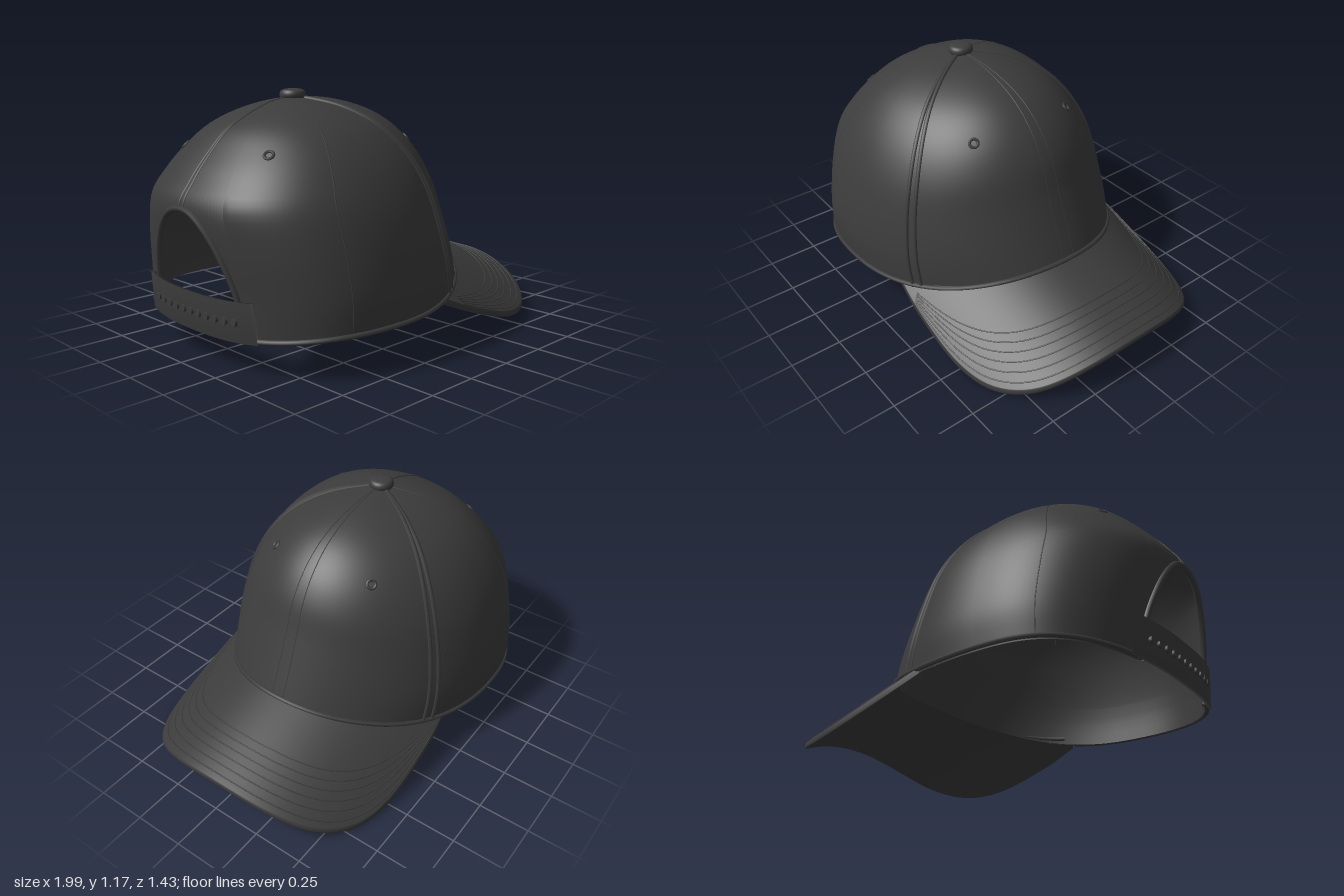
import * as THREE from 'three';
import { mergeVertices } from 'three/addons/utils/BufferGeometryUtils.js';

const CX = -0.34; // vertical axis of the crown
const ARCH_W = 0.357, ARCH_T = 0.6; // rear opening: half angle and top
const curve2 = (pts) => new THREE.SplineCurve(pts.map(([x, y]) => new THREE.Vector2(x, y)));

// Crown profiles (distance from axis, height) from button to rim
const front = curve2([[0, 1.13], [0.24, 1.11], [0.44, 1.05], [0.58, 0.95], [0.675, 0.82], [0.74, 0.65], [0.8, 0.5], [0.865, 0.345]]);
const side = curve2([[0, 1.13], [0.2, 1.09], [0.35, 1.025], [0.46, 0.94], [0.555, 0.82], [0.63, 0.67], [0.68, 0.5], [0.708, 0.33], [0.705, 0.18]]);
const back = curve2([[0, 1.13], [0.16, 1.1], [0.36, 1.01], [0.49, 0.89], [0.58, 0.78], [0.635, 0.68], [0.622, 0.5], [0.59, 0.3], [0.572, 0.13]]);

// Point on the crown: angle a from the front, t from top (0) to rim (1), k scales outward
function crownPoint(a, t, k = 1) {
  const c = Math.cos(a), s = Math.sin(a);
  const e = c > 0 ? 1 : 2 / (2 + 0.6 * t);
  const end = (c > 0 ? front : back).getPointAt(t), sd = side.getPointAt(t);
  const w = Math.pow(c * c, 1.3);
  return new THREE.Vector3(
    CX + Math.sign(c) * Math.pow(Math.abs(c), e) * end.x * k,
    sd.y + (end.y - sd.y) * w - (1 - k) * 0.6 * (1 - t),
    Math.sign(s) * Math.pow(Math.abs(s), e) * sd.x * k);
}

// Smooth surface from a rule f(u, v)
function surface(f, nu, nv) {
  const pos = [], idx = [];
  for (let i = 0; i <= nu; i++) {
    for (let j = 0; j <= nv; j++) {
      pos.push(...f(i / nu, j / nv).toArray());
      if (i < nu && j < nv) {
        const p = i * (nv + 1) + j, q = p + nv + 1;
        idx.push(p, q, p + 1, q, q + 1, p + 1);
      }
    }
  }
  const g = new THREE.BufferGeometry();
  g.setAttribute('position', new THREE.Float32BufferAttribute(pos, 3));
  g.setIndex(idx);
  const m = mergeVertices(g, 1e-5);
  m.computeVertexNormals();
  return m;
}

// Tube following a rule f(u)
function cord(f, radius, n = 50) {
  const pts = Array.from({ length: n + 1 }, (_, i) => f(i / n));
  return new THREE.TubeGeometry(new THREE.CatmullRomCurve3(pts), n * 2, radius, 6);
}

// Brim outline seen from above, and its arched height
const half = [[0.01, 0.64], [0.2, 0.657], [0.5, 0.653], [0.72, 0.595], [0.88, 0.465], [0.97, 0.26]];
const outline = curve2([...half.map(([x, z]) => [x, -z]), [0.998, 0], ...half.slice().reverse()]);
const BRIM_A = 1.14;
function brimPoint(u, v, drop = 0) {
  const inner = crownPoint((u * 2 - 1) * BRIM_A, 1, 0.975);
  const o = outline.getPointAt(u);
  const x = inner.x + (o.x - inner.x) * v, z = inner.z + (o.y - inner.z) * v;
  return new THREE.Vector3(x, 0.35 - 0.32 * (x - 0.53) - 0.74 * z * z - drop, z);
}

export function createModel() {
  const cap = new THREE.Group();
  cap.name = 'cap';
  const cloth = new THREE.MeshStandardMaterial({ color: 0x3c3c3c, side: THREE.DoubleSide });
  cloth.name = 'charcoal cloth';
  const add = (name, geometry) => {
    const m = new THREE.Mesh(geometry, cloth);
    m.name = name;
    cap.add(m);
    return m;
  };

  // Crown with the arched opening at the back
  const archEdge = (phi, sgn) => [sgn * (Math.PI - ARCH_W * Math.cos(phi)), 1 - (1 - ARCH_T) * Math.sin(phi)];
  add('crown', surface((u, v) => {
    const s = u * 2 - 1, m = Math.abs(s), sgn = Math.sign(s) || 1;
    if (m <= 0.8) return crownPoint(s / 0.8 * (Math.PI - ARCH_W), v);
    const [a, t] = archEdge((m - 0.8) / 0.2 * Math.PI / 2, sgn);
    return crownPoint(a, t * v);
  }, 140, 40));

  // Hems round the rim and the rear arch
  const rimA = Math.PI - ARCH_W;
  add('rimHem', cord((u) => crownPoint((u * 2 - 1) * rimA, 0.993), 0.012, 80));
  add('archHem', cord((u) => {
    const phi = u * Math.PI;
    const [a, t] = archEdge(phi < Math.PI / 2 ? phi : Math.PI - phi, phi < Math.PI / 2 ? 1 : -1);
    return crownPoint(a, t);
  }, 0.015));

  // Sweatband inside the rim
  add('sweatband', surface((u, v) => crownPoint((u * 2 - 1) * (rimA - 0.02), 0.85 + 0.15 * v, 0.975), 100, 4));

  // Panel seams outside, tapes inside
  const seam = (name, a, r, end = 1) => add(name, cord((u) => crownPoint(a, 0.03 + (end - 0.03) * u, 0.998), r, 30));
  const tape = (a, end) => add('seamTape', surface((u, v) =>
    crownPoint(a + (u - 0.5) * 0.09, 0.03 + (end - 0.03) * v, 0.982), 3, 30));
  for (const s of [-1, 1]) {
    seam('sideSeam', s * 1.0, 0.011);
    seam('sideSeam', s * 1.06, 0.011);
    seam('rearSideSeam', s * 1.95, 0.003);
    seam('frontStitch', s * 0.045, 0.003);
    seam('rearSeam', Math.PI - s * 0.012, 0.007, ARCH_T);
    tape(s * 1.03, 0.97);
    tape(s * 1.95, 0.97);
  }
  tape(0, 0.97);
  tape(Math.PI, ARCH_T);

  // Eyelets
  for (const [a, t] of [[0.55, 0.47], [-0.55, 0.47], [2.5, 0.4], [-2.5, 0.4]]) {
    const p = crownPoint(a, t);
    const du = crownPoint(a + 0.02, t).sub(p), dv = crownPoint(a, t + 0.02).sub(p);
    const n = du.cross(dv).normalize();
    if (n.y < 0) n.negate();
    const e = add('eyelet', new THREE.TorusGeometry(0.02, 0.007, 6, 18));
    e.position.copy(p);
    e.quaternion.setFromUnitVectors(new THREE.Vector3(0, 0, 1), n);
  }

  // Top button
  const button = add('button', new THREE.LatheGeometry(
    curve2([[0.045, 1.112], [0.06, 1.125], [0.06, 1.145], [0.045, 1.16], [0.001, 1.166]]).getPoints(16), 28));
  button.position.x = CX;

  // Rear strap: a closed band with a row of pegs
  const loop = [[0.87, 1.0], [0.87, 1.03], [1, 1.03], [1, 1.0], [0.87, 1.0]];
  add('strap', surface((u, v) => {
    const [t, k] = loop[Math.round(v * 4)];
    return crownPoint(Math.PI + (u * 2 - 1) * (ARCH_W + 0.1), t, k);
  }, 30, 4));
  for (let i = -5; i <= 5; i++) {
    const p = crownPoint(Math.PI + Math.sign(i) * Math.pow(Math.abs(i) / 5, 1.3) * 0.3, 0.935, 1.03);
    const peg = add('strapPeg', new THREE.CylinderGeometry(0.016, 0.018, 0.02, 12));
    peg.position.copy(p);
    peg.rotation.z = Math.PI / 2;
  }

  // Brim: top, rounded edge and underside in one section
  add('brim', surface((u, v) => {
    if (v <= 0.4) return brimPoint(u, v / 0.4 * 0.985);
    if (v >= 0.6) return brimPoint(u, (1 - v) / 0.4 * 0.985, 0.03);
    const b = (v - 0.4) / 0.2 * Math.PI;
    return brimPoint(u, 0.985 + 0.015 * Math.sin(b), 0.015 - 0.015 * Math.cos(b));
  }, 80, 40));

  // Stitch rows on the brim and the seam where it meets the crown
  for (let i = 0; i < 6; i++) {
    add('brimStitch', cord((u) => brimPoint(0.05 + u * 0.9, 0.93 - i * 0.085, 0.001), 0.0035, 60));
  }
  add('brimSeam', cord((u) => brimPoint(0.02 + u * 0.96, 0.04, -0.004), 0.012, 60));

  return cap;
}
